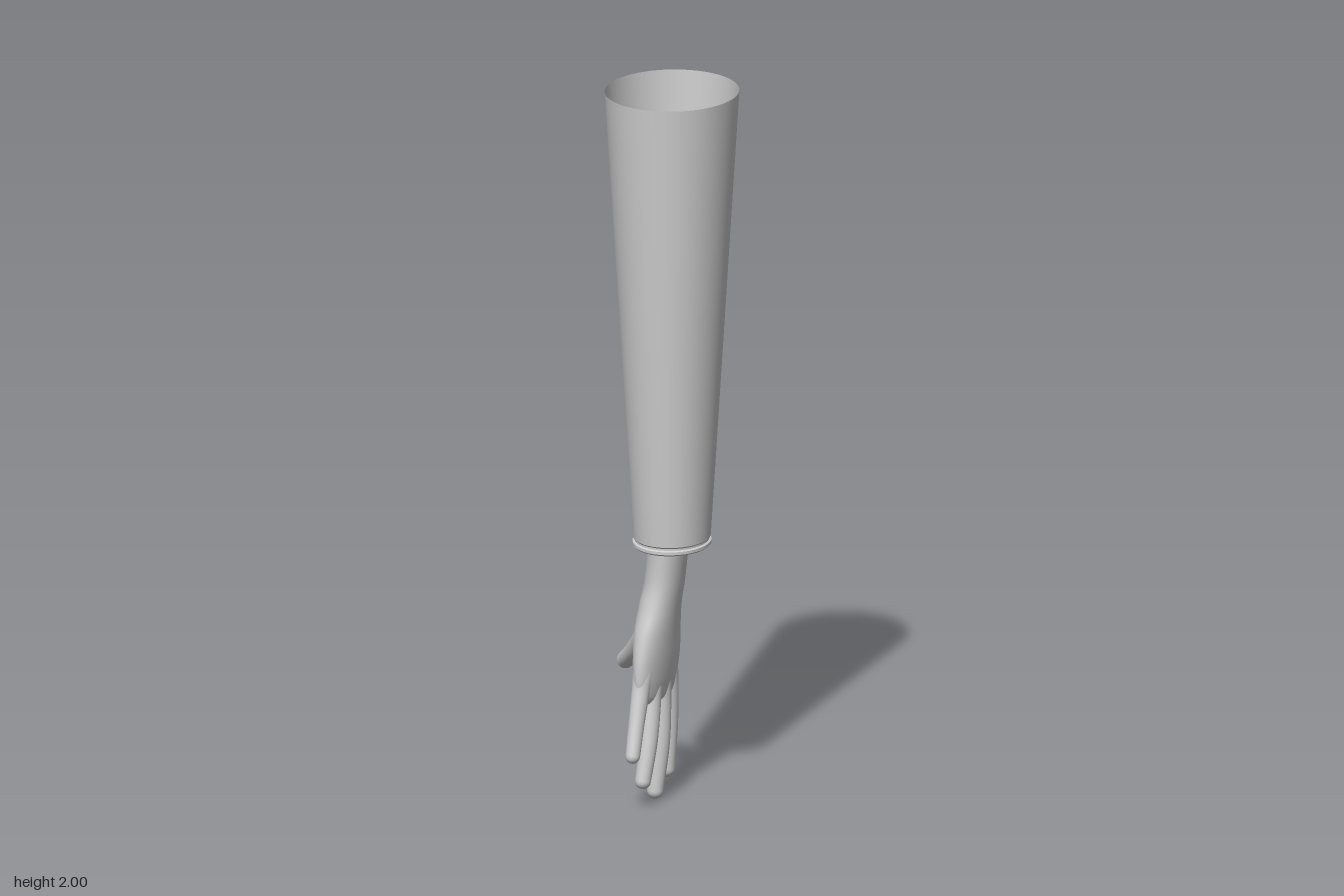
import * as THREE from 'three';
import { toCreasedNormals } from 'three/addons/utils/BufferGeometryUtils.js';

const grey = new THREE.MeshStandardMaterial({ color: 0xcccccc, side: THREE.DoubleSide });
grey.name = 'plainGrey';

// Skins a list of elliptical rings { c, u, v }, where u x v points along the travel.
function loft(rings, sides) {
  const pos = [], index = [];
  rings.forEach(({ c, u, v }, i) => {
    for (let j = 0; j < sides; j++) {
      const a = (j / sides) * Math.PI * 2;
      const p = c.clone().addScaledVector(u, Math.cos(a)).addScaledVector(v, Math.sin(a));
      pos.push(p.x, p.y, p.z);
      if (i === rings.length - 1) continue;
      const k = (j + 1) % sides, r = i * sides, n = r + sides;
      index.push(r + j, r + k, n + j, r + k, n + k, n + j);
    }
  });
  const g = new THREE.BufferGeometry();
  g.setAttribute('position', new THREE.Float32BufferAttribute(pos, 3));
  g.setIndex(index);
  g.computeVertexNormals();
  return g;
}

// Horizontal ellipse; turn swings it about the vertical axis.
function ring(y, cx, cz, rx, rz, turn = 0) {
  const s = Math.sin(turn), k = Math.cos(turn);
  return {
    c: new THREE.Vector3(cx, y, cz),
    u: new THREE.Vector3(k * rx, 0, -s * rx),
    v: new THREE.Vector3(s * rz, 0, k * rz),
  };
}

// Smooth spline through rows of ring parameters.
function smoothRings(rows, steps) {
  const at = (t, col) => {
    const i = Math.min(Math.floor(t), rows.length - 2), f = t - i;
    const p = (n) => rows[Math.max(0, Math.min(rows.length - 1, n))][col];
    const m0 = (p(i + 1) - p(i - 1)) / 2, m1 = (p(i + 2) - p(i)) / 2;
    const d = p(i + 1) - p(i);
    return p(i) + f * m0 + f * f * (3 * d - 2 * m0 - m1) + f * f * f * (m0 + m1 - 2 * d);
  };
  return Array.from({ length: steps + 1 }, (_, s) => {
    const t = (s / steps) * (rows.length - 1);
    return ring(...rows[0].map((_, col) => at(t, col)));
  });
}

// Tapered digit through points [x, y, z, radius], ending in a round tip.
function digit(points) {
  const curve = new THREE.CatmullRomCurve3(points.map((p) => new THREE.Vector3(p[0], p[1], p[2])));
  const last = points.length - 1, rings = [];
  const add = (c, tangent, r) => {
    const u = new THREE.Vector3(1, 0, 0);
    u.addScaledVector(tangent, -u.dot(tangent)).normalize();
    const v = tangent.clone().cross(u);
    rings.push({ c, u: u.multiplyScalar(r), v: v.multiplyScalar(r) });
  };
  for (let s = 0; s <= 24; s++) {
    const t = s / 24, i = Math.min(Math.floor(t * last), last - 1);
    const r = THREE.MathUtils.lerp(points[i][3], points[i + 1][3], t * last - i);
    add(curve.getPoint(t), curve.getTangent(t), r);
  }
  const end = curve.getPoint(1), dir = curve.getTangent(1), r = points[last][3];
  for (let s = 1; s <= 7; s++) {
    const a = (s / 7) * Math.PI / 2;
    add(end.clone().addScaledVector(dir, r * Math.sin(a)), dir, Math.max(r * Math.cos(a), 1e-4));
  }
  return loft(rings, 24);
}

export function createModel() {
  const model = new THREE.Group();
  model.name = 'sleevedArm';
  const hand = new THREE.Group();
  hand.name = 'hand';
  model.add(hand);
  const add = (parent, name, geometry) => {
    const mesh = new THREE.Mesh(geometry, grey);
    mesh.name = name;
    parent.add(mesh);
  };

  // Open tapered sleeve
  const sleeveRing = (y, r) => ring(y, 0.003, 0.031, r, r + 0.026);
  add(model, 'sleeve', loft([[2, 0.183], [0.742, 0.105]].map((p) => sleeveRing(...p)), 64));

  // Cuff: a groove, then a band folded inward
  const cuff = [[0.742, 0.105], [0.738, 0.101], [0.733, 0.101], [0.73, 0.107],
    [0.722, 0.107], [0.718, 0.103], [0.718, 0.099], [0.724, 0.097], [0.742, 0.097]];
  add(model, 'cuff', toCreasedNormals(loft(cuff.map((p) => sleeveRing(...p)), 64), 0.7));

  // Wrist and palm, open at the top: y, centre x, centre z, radius x, radius z, turn
  const palm = [
    [0.82, -0.01, 0.033, 0.067, 0.093, 0],
    [0.72, -0.008, 0.034, 0.057, 0.085, 0],
    [0.62, -0.016, 0.033, 0.054, 0.083, -0.05],
    [0.55, -0.028, 0.036, 0.055, 0.09, -0.12],
    [0.48, -0.036, 0.04, 0.054, 0.105, -0.22],
    [0.40, -0.038, 0.045, 0.046, 0.115, -0.28],
    [0.33, -0.040, 0.05, 0.036, 0.11, -0.28],
    [0.29, -0.040, 0.05, 0.026, 0.09, -0.28],
    [0.272, -0.040, 0.05, 0.0005, 0.03, -0.28],
  ];
  add(hand, 'palm', loft(smoothRings(palm, 56), 48));

  // Fingers and thumb, each rooted inside the palm
  const digits = {
    indexFinger: [[-0.028, 0.42, -0.018, 0.036], [-0.02, 0.31, -0.03, 0.031],
      [-0.018, 0.19, -0.034, 0.027], [-0.022, 0.062, -0.031, 0.023]],
    middleFinger: [[-0.034, 0.42, 0.03, 0.036], [-0.029, 0.29, 0.031, 0.03],
      [-0.028, 0.16, 0.04, 0.027], [-0.04, 0.023, 0.051, 0.023]],
    ringFinger: [[-0.044, 0.42, 0.07, 0.036], [-0.045, 0.3, 0.088, 0.028],
      [-0.048, 0.18, 0.113, 0.025], [-0.06, 0.072, 0.137, 0.022]],
    littleFinger: [[-0.056, 0.42, 0.112, 0.034], [-0.066, 0.33, 0.134, 0.025],
      [-0.074, 0.24, 0.16, 0.022], [-0.08, 0.155, 0.187, 0.02]],
    thumb: [[-0.045, 0.52, 0, 0.042], [-0.064, 0.45, -0.048, 0.044],
      [-0.1, 0.395, -0.108, 0.034], [-0.135, 0.348, -0.163, 0.027], [-0.165, 0.312, -0.214, 0.024]],
  };
  for (const [name, points] of Object.entries(digits)) add(hand, name, digit(points));

  return model;
}
